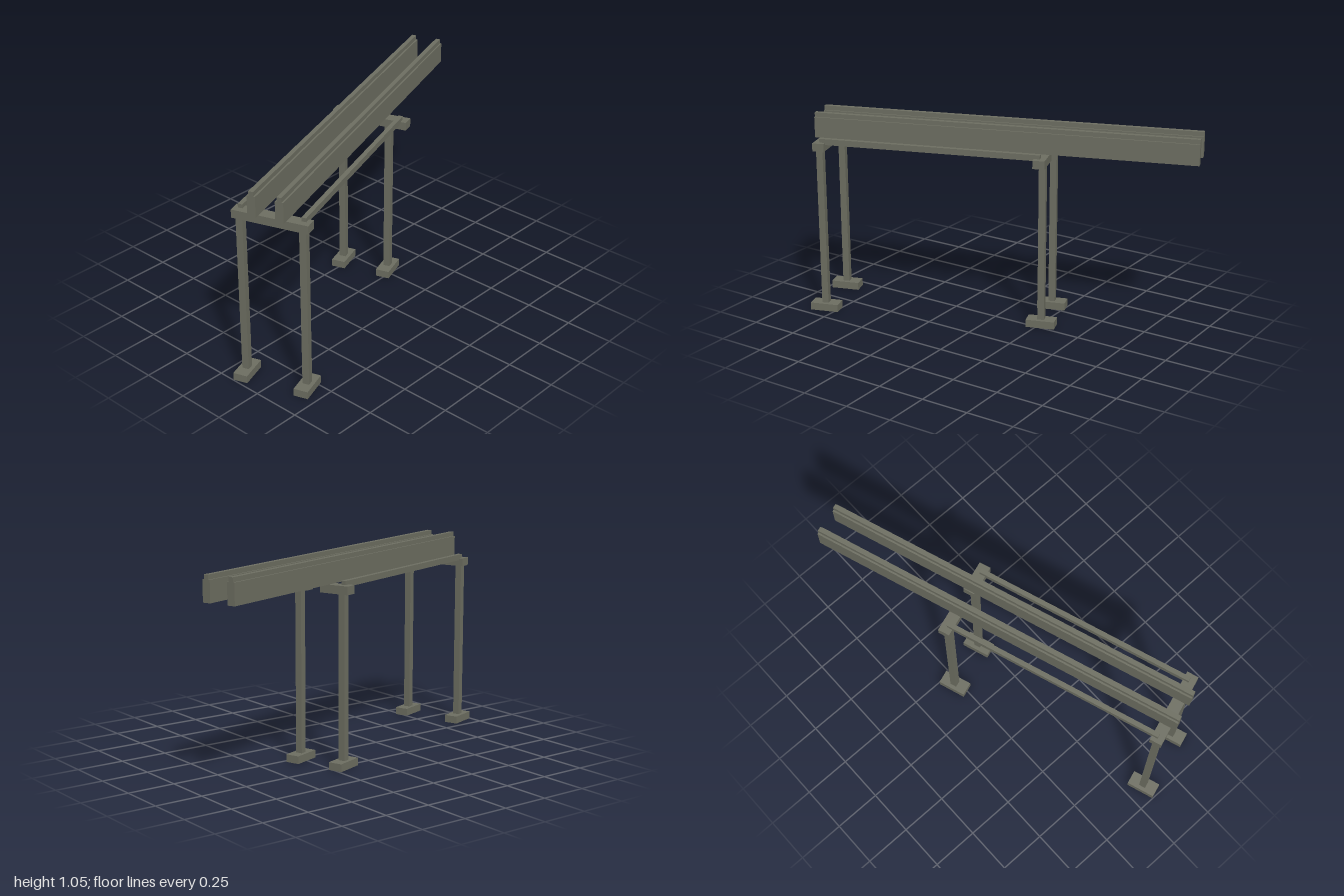
import * as THREE from 'three';

export function createModel() {
  const model = new THREE.Group();
  model.name = 'elevatedTrack';
  const concrete = new THREE.MeshStandardMaterial({ color: 0x6e6f62 });

  // The whole structure runs diagonally, so it is built straight and then turned.
  const track = new THREE.Group();
  track.name = 'track';
  track.rotation.y = 0.325;
  model.add(track);

  // Box given by its [min, max] range on each axis.
  function block(name, [x0, x1], [y0, y1], [z0, z1]) {
    const mesh = new THREE.Mesh(new THREE.BoxGeometry(x1 - x0, y1 - y0, z1 - z0), concrete);
    mesh.name = name;
    mesh.position.set((x0 + x1) / 2, (y0 + y1) / 2, (z0 + z1) / 2);
    track.add(mesh);
  }
  const around = (c, size) => [c - size / 2, c + size / 2];

  const rearX = -0.897, foreX = 0.26;

  // Two girders, each with a narrower rail on top
  for (const z of [-0.115, 0.026]) {
    block('girder', [-0.953, 1.036], [0.923, 1.031], around(z, 0.042));
    block('rail', [-0.953, 1.036], [1.031, 1.054], around(z, 0.024));
  }

  // Columns on footings
  for (const [x, z] of [[rearX, -0.202], [rearX, 0.121], [foreX, -0.203], [foreX, 0.057]]) {
    block('footing', around(x, 0.15), [0, 0.04], around(z, 0.074));
    block('column', around(x, 0.035), [0.04, 0.88], around(z, 0.035));
  }

  // Crossheads: one full beam at the rear, two separate ones further along
  block('crosshead', around(rearX, 0.061), [0.88, 0.923], [-0.235, 0.156]);
  block('crosshead', around(foreX, 0.061), [0.88, 0.923], [-0.247, -0.085]);
  block('crosshead', around(foreX, 0.061), [0.88, 0.923], [0, 0.162]);

  // Slender side beams tying the supports together
  for (const z of [-0.202, 0.12]) {
    block('sideBeam', [rearX, foreX], [0.912, 0.943], around(z, 0.024));
  }

  return model;
}
